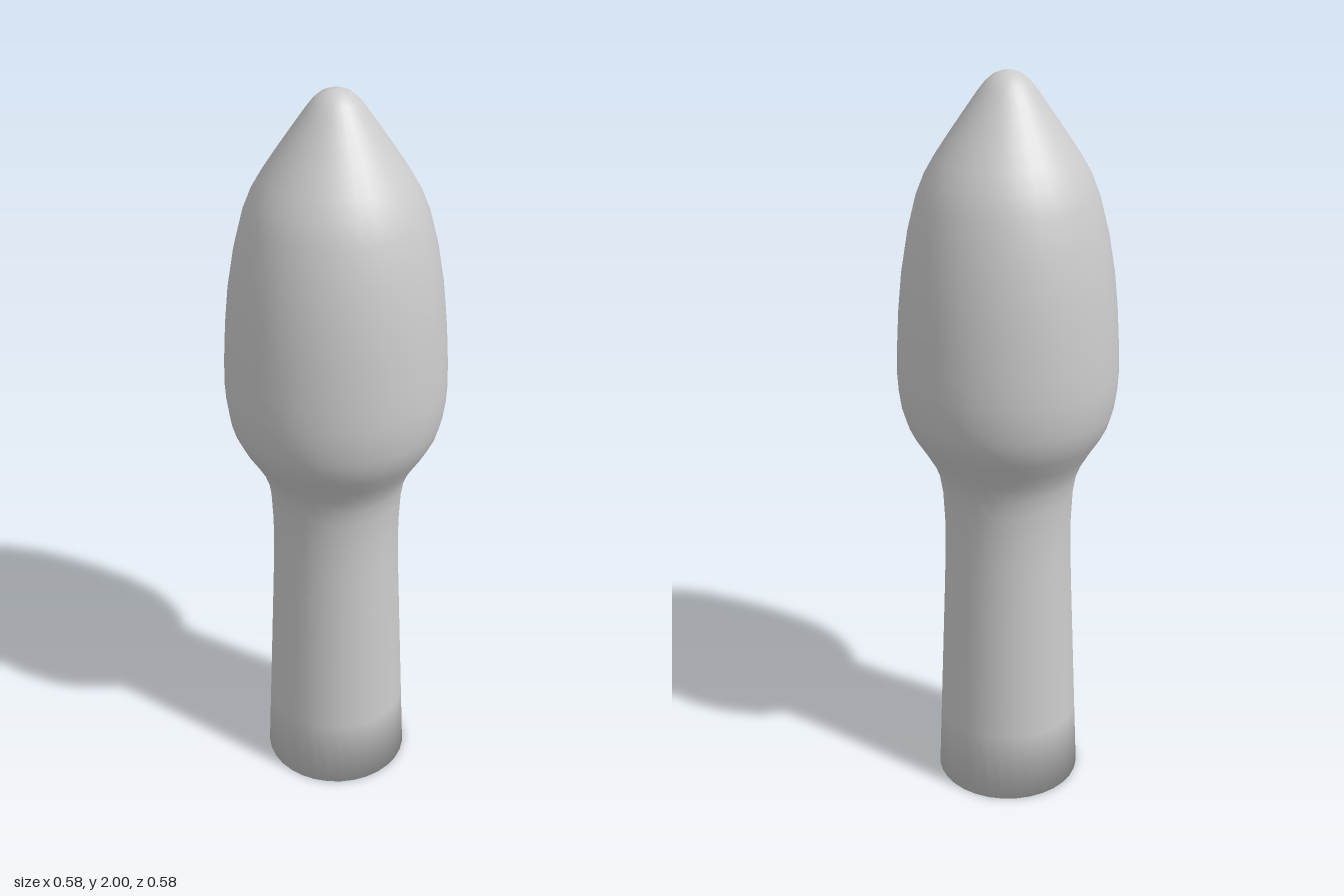
import * as THREE from 'three';

export function createModel() {
  const group = new THREE.Group();
  const material = new THREE.MeshStandardMaterial({ color: 0xcccccc });

  // Silhouette as [radius, height]: flat base, tapering handle, flared neck, bulb, rounded tip
  const profile = [
    [0, 0], [0.2, 0],
    [0.192, 0.2], [0.184, 0.4], [0.176, 0.6], [0.172, 0.72], [0.172, 0.8],
    [0.176, 0.88], [0.184, 0.93], [0.199, 0.97], [0.222, 1.01], [0.25, 1.054],
    [0.268, 1.09], [0.28, 1.13], [0.287, 1.18], [0.29, 1.23], [0.288, 1.3],
    [0.282, 1.4], [0.272, 1.5], [0.255, 1.6], [0.232, 1.69], [0.21, 1.745],
    [0.183, 1.792], [0.148, 1.845], [0.11, 1.9], [0.075, 1.95],
    [0.057, 1.973], [0.038, 1.99], [0.018, 1.998], [0, 2],
  ].map(([r, y]) => new THREE.Vector2(r, y));

  // One continuous turned body
  const body = new THREE.Mesh(new THREE.LatheGeometry(profile, 32), material);
  body.name = 'turnedBody';
  group.add(body);
  return group;
}
